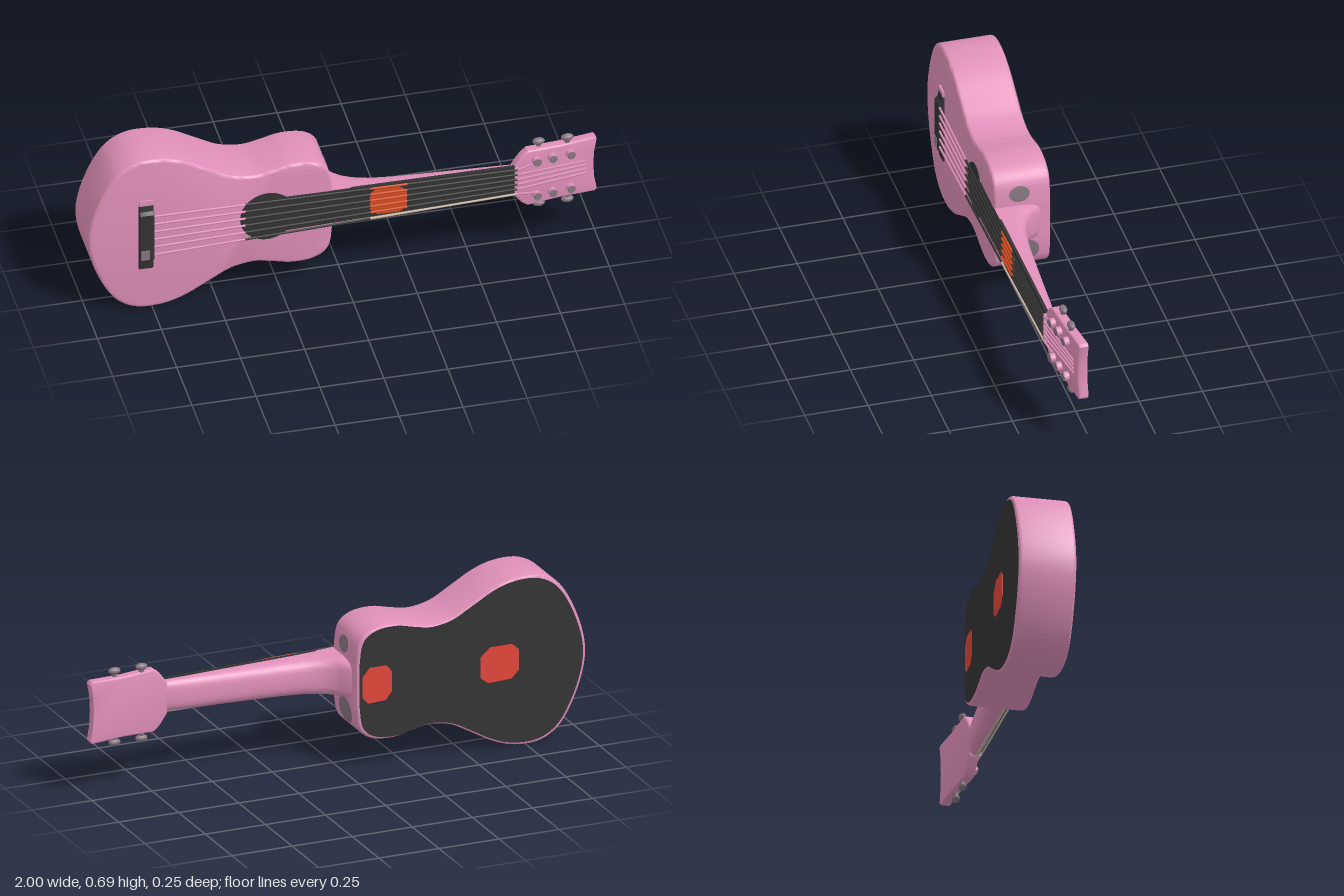
import * as THREE from 'three';
import { toCreasedNormals } from 'three/addons/utils/BufferGeometryUtils.js';

const mat = (name, color, side = THREE.FrontSide) => {
  const m = new THREE.MeshStandardMaterial({ color, side });
  m.name = name;
  return m;
};
const MID = 0.345; // height of the guitar's long axis

export function createModel() {
  const pink = mat('pink', 0xe090b9);
  const dark = mat('charcoal', 0x333333);
  const grey = mat('grey', 0x85757e, THREE.DoubleSide);
  const orange = mat('orange', 0xd64c22);
  const red = mat('red', 0xe2453a);
  const beige = mat('beige', 0xc8b4a0);
  const group = new THREE.Group();

  const add = (name, geo, material) => {
    const mesh = new THREE.Mesh(geo, material);
    mesh.name = name;
    group.add(mesh);
    return mesh;
  };
  // Outline in x,y extruded from z0 to z1; bevel stays within the outline
  const slab = (pts, z0, z1, bevel = 0) => {
    const geo = new THREE.ExtrudeGeometry(new THREE.Shape(pts.map(([x, y]) => new THREE.Vector2(x, y))), {
      depth: z1 - z0 - 2 * bevel, bevelEnabled: bevel > 0, bevelSize: bevel,
      bevelThickness: bevel, bevelOffset: -bevel, bevelSegments: 3,
    });
    geo.translate(0, 0, z0 + bevel);
    return toCreasedNormals(geo, 0.6);
  };
  const shearZ = (geo, slope, x0) => {
    const p = geo.attributes.position;
    for (let i = 0; i < p.count; i++) p.setZ(i, p.getZ(i) - slope * (p.getX(i) - x0));
    return toCreasedNormals(geo, 0.6);
  };
  const rod = (name, a, b, r, material, sides = 6) => {
    const from = new THREE.Vector3(...a), to = new THREE.Vector3(...b);
    const dir = to.clone().sub(from);
    const mesh = add(name, new THREE.CylinderGeometry(r, r, dir.length(), sides), material);
    mesh.position.copy(from).addScaledVector(dir, 0.5);
    mesh.quaternion.setFromUnitVectors(new THREE.Vector3(0, 1, 0), dir.normalize());
  };

  // Body: half outline (x, offset from axis), mirrored and smoothed
  const half = [[-0.98, 0.115], [-0.92, 0.25], [-0.87, 0.308], [-0.8, 0.34], [-0.7, 0.339],
    [-0.62, 0.314], [-0.52, 0.259], [-0.44, 0.217], [-0.35, 0.202], [-0.28, 0.214], [-0.2, 0.231],
    [-0.11, 0.221], [-0.063, 0.185], [-0.046, 0.1]];
  const ctrl = [[-1, 0], ...half, [-0.045, 0], ...half.slice().reverse().map(([x, y]) => [x, -y])];
  const outline = new THREE.CatmullRomCurve3(
    ctrl.map(([x, y]) => new THREE.Vector3(x, MID + y, 0)), true).getPoints(128).slice(0, -1).map(v => [v.x, v.y]);
  add('body', slab(outline, -0.124, 0.1, 0.012), pink);
  const inset = outline.map(([x, y]) => [-0.52 + (x + 0.52) * 0.972, MID + (y - MID) * 0.965]);
  add('backPanel', slab(inset, -0.1252, -0.122), dark);

  // Red patches on the back
  const blob = (cx, cy, w, h) => [[-0.5, 0.32], [-0.32, 0.5], [0.25, 0.5], [0.5, 0.25], [0.5, -0.32],
    [0.3, -0.5], [-0.3, -0.47], [-0.5, -0.25]].map(([x, y]) => [cx + x * w, cy + y * h]);
  add('backPatchUpper', slab(blob(-0.13, 0.342, 0.122, 0.145), -0.1262, -0.1248), red);
  add('backPatchLower', slab(blob(-0.64, 0.348, 0.16, 0.145), -0.1262, -0.1248), red);

  // Grey patches laid over the curved shoulders
  const wallX = y => {
    const d = Math.abs(y - MID);
    let best = -0.045;
    for (let i = 0; i < outline.length; i++) {
      const [x0, y0] = outline[i], [x1, y1] = outline[(i + 1) % outline.length];
      const a = y0 - MID, b = y1 - MID;
      if (x0 > -0.2 && x1 > -0.2 && (a - d) * (b - d) <= 0 && a !== b) best = x0 + (x1 - x0) * (d - a) / (b - a);
    }
    return best;
  };
  for (const [name, cy, cz, ry, rz] of [['shoulderPatchTop', 0.478, 0, 0.033, 0.041],
    ['shoulderPatchBottom', 0.217, -0.018, 0.052, 0.06]]) {
    const geo = new THREE.RingGeometry(0.001, 1, 28, 8);
    const p = geo.attributes.position;
    for (let i = 0; i < p.count; i++) {
      const y = cy + p.getY(i) * ry;
      p.setXYZ(i, wallX(y) + 0.003, y, cz - p.getX(i) * rz);
    }
    geo.computeVertexNormals();
    add(name, geo, grey);
  }

  // Sound hole
  const hole = add('soundHole', new THREE.CylinderGeometry(0.107, 0.107, 0.006, 40), dark);
  hole.rotation.x = Math.PI / 2;
  hole.position.set(-0.3, 0.353, 0.1);

  // Neck with a flared heel: x, half width, front z, back z, corner roundness
  const sections = [[-0.06, 0.08, 0.098, -0.095, 0.4], [-0.035, 0.08, 0.098, -0.078, 0.4],
    [-0.015, 0.079, 0.098, -0.045, 0.42], [0.01, 0.078, 0.097, -0.022, 0.45], [0.05, 0.076, 0.097, -0.003, 0.5],
    [0.11, 0.074, 0.096, 0.01, 0.6], [0.2, 0.072, 0.095, 0.02, 0.65], [0.4, 0.068, 0.092, 0.034, 0.65],
    [0.58, 0.064, 0.09, 0.045, 0.65], [0.69, 0.063, 0.088, 0.056, 0.65]];
  const N = 16, pos = [], idx = [];
  const pw = (v, e) => Math.sign(v) * Math.pow(Math.abs(v), e);
  sections.forEach(([x, w, zf, zb, e], i) => {
    for (let j = 0; j <= N; j++) {
      const t = (j / N) * Math.PI;
      pos.push(x, MID + 0.005 + w * pw(Math.cos(t), e), zf - (zf - zb) * pw(Math.sin(t), e));
      if (i === sections.length - 1) continue;
      const a = i * (N + 1) + j, b = i * (N + 1) + (j + 1) % (N + 1);
      idx.push(a, a + N + 1, b, b, a + N + 1, b + N + 1);
    }
  });
  const neck = new THREE.BufferGeometry();
  neck.setAttribute('position', new THREE.Float32BufferAttribute(pos, 3));
  neck.setIndex(idx);
  add('neck', toCreasedNormals(neck, 0.8), pink);

  // Fretboard, its orange marker and pale edge binding, all following the neck's slope
  const SLOPE = 0.013;
  const topY = x => 0.431 - 0.017 * (x + 0.2), lowY = x => 0.278 + 0.013 * (x + 0.2);
  const strip = (x0, x1, lo, hi) => [[x0, lo(x0)], [x1, lo(x1)], [x1, hi(x1)], [x0, hi(x0)]];
  add('fretboard', shearZ(slab(strip(-0.26, 0.67, lowY, topY), 0.095, 0.107), SLOPE, -0.26), dark);
  add('fretMarker', shearZ(slab(blob(0.172, 0.35, 0.146, 0.125), 0.105, 0.109), SLOPE, -0.26), orange);
  add('edgeBinding', shearZ(slab(strip(0, 0.66, x => lowY(x) - 0.007, lowY), 0.094, 0.104), SLOPE, -0.26), beige);

  // Headstock leaning backwards
  const HEAD = 0.115;
  const headHalf = [[0.985, 0], [0.988, 0.06], [0.998, 0.115], [0.99, 0.126], [0.85, 0.122], [0.72, 0.127],
    [0.695, 0.108], [0.67, 0.075], [0.66, 0.06]];
  const head = [...headHalf, ...headHalf.slice(1).reverse().map(([x, y]) => [x, -y])].map(([x, y]) => [x, MID + 0.002 + y]);
  add('headstock', shearZ(slab(head, 0.055, 0.096, 0.007), HEAD, 0.66), pink);
  add('nut', new THREE.BoxGeometry(0.014, 0.125, 0.018), pink).position.set(0.673, MID + 0.006, 0.096);

  // Tuning posts on the face and knobs on the edges
  const headZ = x => 0.096 - HEAD * (x - 0.66);
  for (const s of [-1, 1]) {
    for (const x of [0.752, 0.815, 0.888]) {
      const z = headZ(x), y = MID + 0.002 + s * 0.08;
      rod('tuningPost', [x, y, z - 0.01], [x + 0.003, y, z + 0.018], 0.018, pink, 16);
      rod('tuningPostCap', [x + 0.003, y, z + 0.017], [x + 0.004, y, z + 0.022], 0.016, grey, 16);
    }
    for (const x of [0.77, 0.882]) {
      const z = 0.055, y = MID + 0.002;
      rod('knobStem', [x, y + s * 0.115, z], [x, y + s * 0.14, z], 0.01, grey, 10);
      const knob = add('tuningKnob', new THREE.SphereGeometry(1, 16, 10), grey);
      knob.scale.set(0.025, 0.014, 0.015);
      knob.position.set(x, y + s * 0.145, z);
    }
  }

  // Bridge: side profile (y, z) extruded along x
  const profile = [[0.188, 0.095], [0.19, 0.106], [0.23, 0.111], [0.243, 0.124], [0.45, 0.124], [0.462, 0.112],
    [0.485, 0.108], [0.486, 0.095]];
  const bridge = slab(profile, -0.803, -0.747, 0.003);
  bridge.applyMatrix4(new THREE.Matrix4().set(0, 0, 1, 0, 1, 0, 0, 0, 0, 1, 0, 0, 0, 0, 0, 1));
  add('bridge', bridge, dark);
  add('bridgeTip', new THREE.BoxGeometry(0.054, 0.022, 0.012), pink).position.set(-0.775, 0.496, 0.101);
  add('bridgePatch', new THREE.BoxGeometry(0.034, 0.045, 0.004), grey).position.set(-0.782, 0.265, 0.1235);

  // Six strings: pink over the body, dark over the fretboard, orange across the marker
  const stringParts = [[-0.76, -0.39, pink], [-0.39, 0.1, dark], [0.1, 0.244, orange], [0.244, 0.675, dark]];
  for (let i = 0; i < 6; i++) {
    const k = i / 5;
    const y0 = 0.26 + k * 0.18, y1 = 0.294 + k * 0.113;
    const at = x => {
      const t = (x + 0.76) / 1.435;
      return [x, y0 + (y1 - y0) * t, 0.119 - 0.014 * t];
    };
    for (const [a, b, m] of stringParts) {
      rod('string', at(a), at(b), 0.0045, i === 0 && a >= -0.05 ? beige : m);
    }
    // Outer strings end at the first posts, the others run along the headstock
    const outer = i === 0 || i === 5;
    const endX = outer ? 0.74 : 0.95;
    const endY = outer ? MID + (i ? 0.07 : -0.066) : 0.3 + k * 0.095;
    rod('stringEnd', at(0.675), [endX, endY, headZ(endX) + 0.003], 0.0045, pink);
  }
  return group;
}
